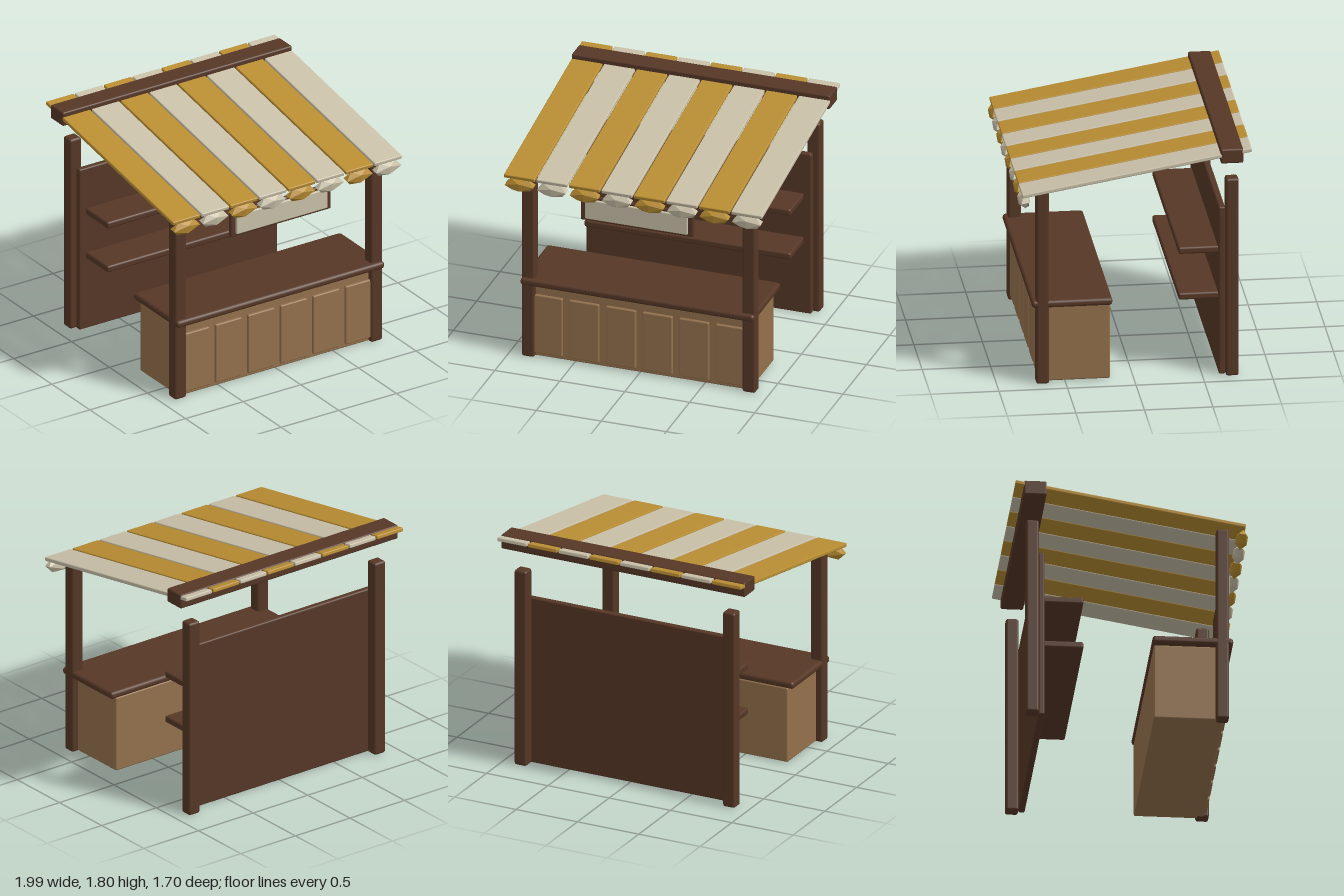
import * as THREE from 'three';
import { RoundedBoxGeometry } from 'three/addons/geometries/RoundedBoxGeometry.js';

const material = (name, color, flatShading = false) => {
  const m = new THREE.MeshStandardMaterial({ color, flatShading });
  m.name = name;
  return m;
};

export function createModel() {
  const stall = new THREE.Group();
  stall.name = 'marketStall';

  const darkWood = material('darkWood', 0x563726);
  const lightWood = material('lightWood', 0x94714c);
  const gold = material('goldCloth', 0xb98d32);
  const cream = material('creamCloth', 0xc9c0a8);

  // Soft-edged box given by its [min, max] range on each axis
  const block = (name, mat, [x0, x1], [y0, y1], [z0, z1], r = 0.012) => {
    const geo = new RoundedBoxGeometry(x1 - x0, y1 - y0, z1 - z0, 2, r);
    const mesh = new THREE.Mesh(geo, mat);
    mesh.name = name;
    mesh.position.set((x0 + x1) / 2, (y0 + y1) / 2, (z0 + z1) / 2);
    stall.add(mesh);
    return mesh;
  };

  // Corner posts
  for (const side of [-1, 1]) {
    const x = [side * 0.85 - 0.05, side * 0.85 + 0.05];
    block('frontPost', darkWood, x, [0, 1.51], [0.62, 0.715], 0.018);
    block('backPost', darkWood, x, [0, 1.53], [-0.763, -0.668], 0.018);
  }

  // Back wall and its shelves
  block('backWall', darkWood, [-0.85, 0.85], [0, 1.295], [-0.67, -0.622]);
  for (const y of [0.565, 0.92]) {
    block('shelf', darkWood, [-0.795, 0.795], [y, y + 0.053], [-0.63, -0.335], 0.015);
  }

  // Counter with front panels and worktop
  block('counter', lightWood, [-0.85, 0.85], [0.005, 0.588], [0.17, 0.68]);
  for (let i = 0; i < 6; i++) {
    const x = (i - 2.5) * 0.282;
    block('counterPanel', lightWood, [x - 0.115, x + 0.115], [0.035, 0.505], [0.66, 0.7], 0.01);
  }
  block('worktop', darkWood, [-0.9, 0.9], [0.588, 0.643], [0.158, 0.745], 0.022);

  // Hanging sign board with a blank face
  block('signBoard', darkWood, [-0.435, 0.435], [1.2, 1.4], [0.71, 0.742]);
  block('signFace', cream, [-0.395, 0.395], [1.222, 1.378], [0.735, 0.76], 0.008);

  // Ridge beam
  block('ridgeBeam', darkWood, [-0.995, 0.995], [1.687, 1.797], [-0.785, -0.62]);

  // Sloping awning slats, each with a faceted tassel at its lower edge
  const rise = 0.285, run = 1.665;
  const slope = Math.atan2(rise, run);
  const slatGeo = new RoundedBoxGeometry(0.238, 0.03, Math.hypot(rise, run) + 0.01, 2, 0.008);
  const tasselGeo = new THREE.IcosahedronGeometry(1, 0);
  const facetGold = material('goldTassel', 0xb98d32, true);
  const facetCream = material('creamTassel', 0xc9c0a8, true);
  for (let i = 0; i < 8; i++) {
    const x = (i - 3.5) * 0.25;
    const slat = new THREE.Mesh(slatGeo, i % 2 ? cream : gold);
    slat.name = 'awningSlat';
    slat.position.set(x, 1.641, -0.01);
    slat.rotation.x = slope;
    stall.add(slat);

    const tassel = new THREE.Mesh(tasselGeo, i % 2 ? facetCream : facetGold);
    tassel.name = 'awningTassel';
    tassel.position.set(x, 1.438, 0.806);
    tassel.scale.set(0.13, 0.062, 0.05);
    tassel.rotation.set(slope, 0, 0.04);
    stall.add(tassel);
  }

  return stall;
}
